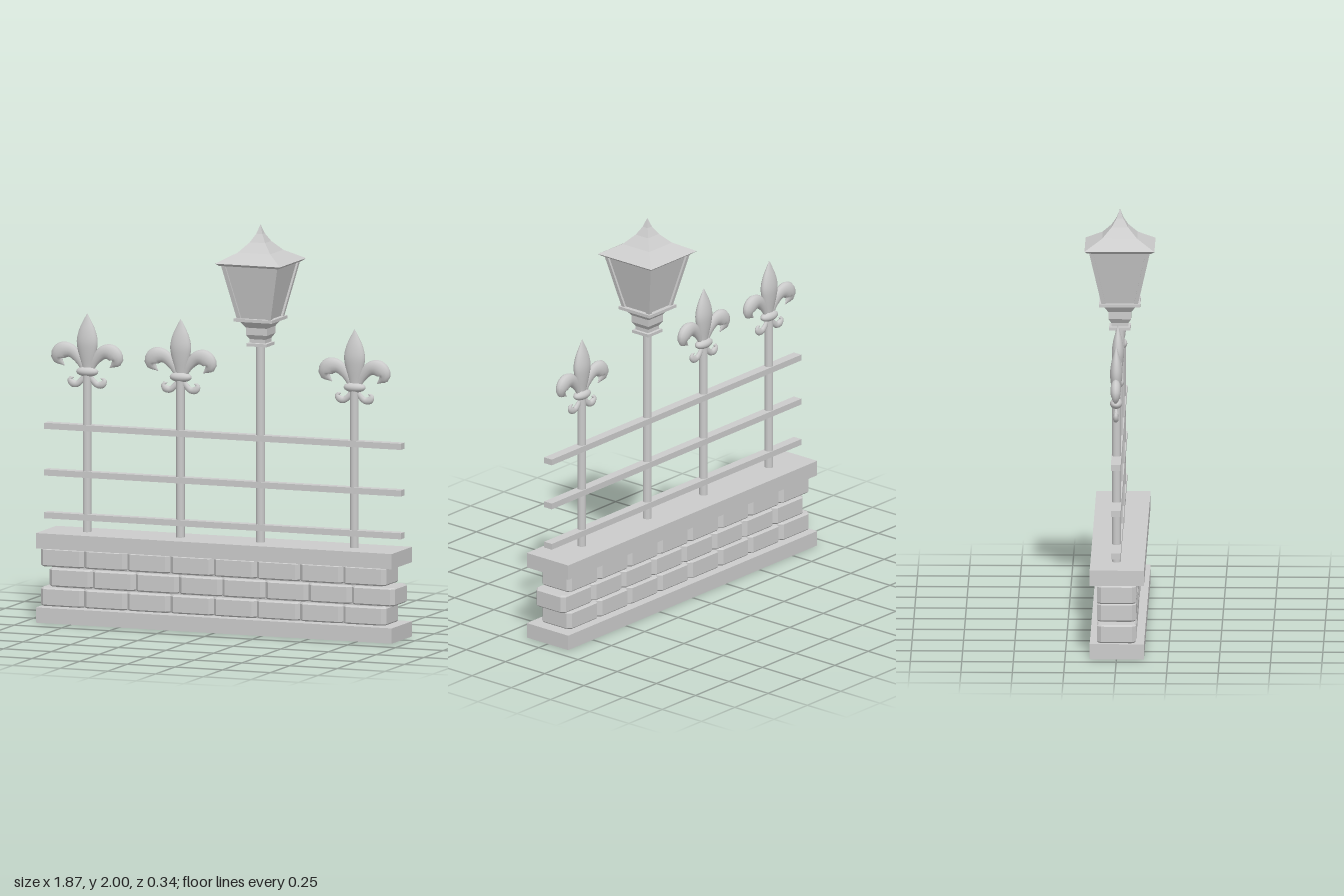
import * as THREE from 'three';
import { mergeVertices } from 'three/addons/utils/BufferGeometryUtils.js';

const smooth = new THREE.MeshStandardMaterial({ color: 0xcccccc });
const flat = new THREE.MeshStandardMaterial({ color: 0xcccccc, flatShading: true });
const vec2 = (pts) => pts.map(([x, y]) => new THREE.Vector2(x, y));

function add(parent, name, geometry, material, x = 0, y = 0, z = 0) {
  const mesh = new THREE.Mesh(geometry, material);
  mesh.name = name;
  mesh.position.set(x, y, z);
  parent.add(mesh);
  return mesh;
}

// Square-section turned profile; each point is [half width, y], from bottom to top
function squareLathe(profile) {
  const pts = vec2(profile.map(([r, y]) => [r * Math.SQRT2, y]));
  return new THREE.LatheGeometry(pts, 4, Math.PI / 4);
}

// Tapered, flattened tube; each point is [x, y, radius]
function horn(points, side, depth) {
  const curve = new THREE.CatmullRomCurve3(points.map(([x, y]) => new THREE.Vector3(x * side, y, 0)));
  const radii = new THREE.SplineCurve(vec2(points.map(([, , r], i) => [i, r])));
  const steps = 24, sides = 12;
  const geo = new THREE.TubeGeometry(curve, steps, 1, sides);
  const pos = geo.attributes.position;
  const v = new THREE.Vector3();
  for (let i = 0; i <= steps; i++) {
    const centre = curve.getPointAt(i / steps);
    const r = radii.getPoint(curve.getUtoTmapping(i / steps)).y;
    for (let j = 0; j <= sides; j++) {
      const k = i * (sides + 1) + j;
      v.fromBufferAttribute(pos, k).sub(centre).multiplyScalar(r).add(centre);
      pos.setXYZ(k, v.x, v.y, v.z * depth);
    }
  }
  geo.deleteAttribute('uv');
  geo.deleteAttribute('normal');
  const merged = mergeVertices(geo, 1e-5);
  merged.computeVertexNormals();
  return merged;
}

// Brick with chamfered upright corners and a fine bevel above and below
function brickGeometry(length, height, depth) {
  const a = length / 2, b = depth / 2, c = 0.02, bevel = 0.007;
  const outline = [[a, b - c], [a - c, b], [c - a, b], [-a, b - c], [-a, c - b], [c - a, -b], [a - c, -b], [a, c - b]];
  const geo = new THREE.ExtrudeGeometry(new THREE.Shape(vec2(outline)), {
    depth: height - 2 * bevel, bevelEnabled: true, bevelSegments: 1,
    bevelSize: bevel, bevelThickness: bevel, bevelOffset: -bevel,
  });
  return geo.translate(0, 0, bevel - height / 2).rotateX(-Math.PI / 2);
}

function buildWall() {
  const wall = new THREE.Group();
  wall.name = 'wall';
  const slab = new THREE.BoxGeometry(1.866, 0.075, 0.264);
  add(wall, 'baseSlab', slab, flat, 0, 0.0375, 0.002);
  add(wall, 'copingSlab', slab, flat, 0, 0.4025, 0.002);
  add(wall, 'mortarCore', new THREE.BoxGeometry(1.7, 0.3, 0.13), flat, 0, 0.22);
  const pitch = 0.2265;
  const brick = brickGeometry(pitch, 0.09, 0.19);
  for (let row = 0; row < 3; row++) {
    const start = row === 1 ? -0.885 : -0.93;
    for (let i = 0; i < 8; i++) {
      add(wall, 'brick', brick, flat, start + pitch * (i + 0.5), 0.123 + row * 0.097);
    }
  }
  return wall;
}

function buildFinial() {
  const finial = new THREE.Group();
  finial.name = 'finial';
  // Central blade, flattened front to back
  const profile = new THREE.SplineCurve(vec2([
    [0.018, 1.21], [0.028, 1.255], [0.046, 1.32], [0.054, 1.375], [0.042, 1.43], [0.018, 1.48], [0, 1.512],
  ])).getPoints(24);
  profile[24].x = 0;
  const blade = add(finial, 'blade', new THREE.LatheGeometry(profile, 20), smooth);
  blade.scale.z = 0.55;
  // Curling side petals and the small scrolls under the collar
  const petal = [[0.015, 1.225, 0.012], [0.045, 1.285, 0.023], [0.088, 1.325, 0.034],
    [0.133, 1.323, 0.041], [0.155, 1.288, 0.033], [0.118, 1.25, 0.002]];
  const scroll = [[0.012, 1.215, 0.01], [0.03, 1.183, 0.014], [0.055, 1.163, 0.016],
    [0.08, 1.167, 0.018], [0.089, 1.187, 0.012], [0.07, 1.196, 0.002]];
  for (const side of [-1, 1]) {
    add(finial, 'petal', horn(petal, side, 0.62), smooth);
    add(finial, 'scroll', horn(scroll, side, 0.75), smooth);
  }
  const collar = add(finial, 'collar', new THREE.SphereGeometry(1, 20, 12), smooth, 0, 1.226, 0);
  collar.scale.set(0.057, 0.025, 0.03);
  return finial;
}

function buildLamp() {
  const lamp = new THREE.Group();
  lamp.name = 'lamp';
  add(lamp, 'lampPost', new THREE.CylinderGeometry(0.022, 0.022, 0.99, 12), smooth, 0, 0.925);
  add(lamp, 'lampNeck', squareLathe([
    [0, 1.405], [0.052, 1.405], [0.052, 1.42], [0.041, 1.422], [0.041, 1.44], [0.055, 1.462],
    [0.055, 1.497], [0.077, 1.527], [0.1, 1.53], [0.1, 1.545], [0, 1.545],
  ]), flat);
  add(lamp, 'glass', squareLathe([[0.078, 1.545], [0.138, 1.812]]), flat);
  // Sloping corner bars of the lantern
  const bottom = 0.078, top = 0.139, y0 = 1.54, y1 = 1.815;
  for (const sx of [-1, 1]) for (const sz of [-1, 1]) {
    const bar = new THREE.BoxGeometry(0.02, y1 - y0, 0.02);
    const pos = bar.attributes.position;
    for (let i = 0; i < pos.count; i++) {
      const offset = pos.getY(i) > 0 ? top : bottom;
      pos.setX(i, pos.getX(i) + sx * offset);
      pos.setZ(i, pos.getZ(i) + sz * offset);
    }
    add(lamp, 'cornerBar', bar, flat, 0, (y0 + y1) / 2);
  }
  add(lamp, 'lampRoof', squareLathe([
    [0, 1.808], [0.155, 1.808], [0.17, 1.82], [0.085, 1.868], [0.04, 1.915], [0.016, 1.955], [0, 2],
  ]), flat);
  return lamp;
}

export function createModel() {
  const model = new THREE.Group();
  model.name = 'fenceWithLamp';
  model.add(buildWall());

  // Three horizontal rails
  const rail = new THREE.BoxGeometry(1.87, 0.03, 0.048);
  for (const y of [0.512, 0.722, 0.951]) add(model, 'rail', rail, flat, 0, y, -0.003);

  // Round posts topped with finials
  const post = new THREE.CylinderGeometry(0.021, 0.021, 0.79, 12);
  for (const x of [-0.72, -0.23, 0.682]) {
    add(model, 'post', post, smooth, x, 0.825, -0.003);
    const finial = buildFinial();
    finial.position.set(x, 0, -0.005);
    model.add(finial);
  }

  const lamp = buildLamp();
  lamp.position.set(0.19, 0, -0.002);
  model.add(lamp);
  return model;
}
